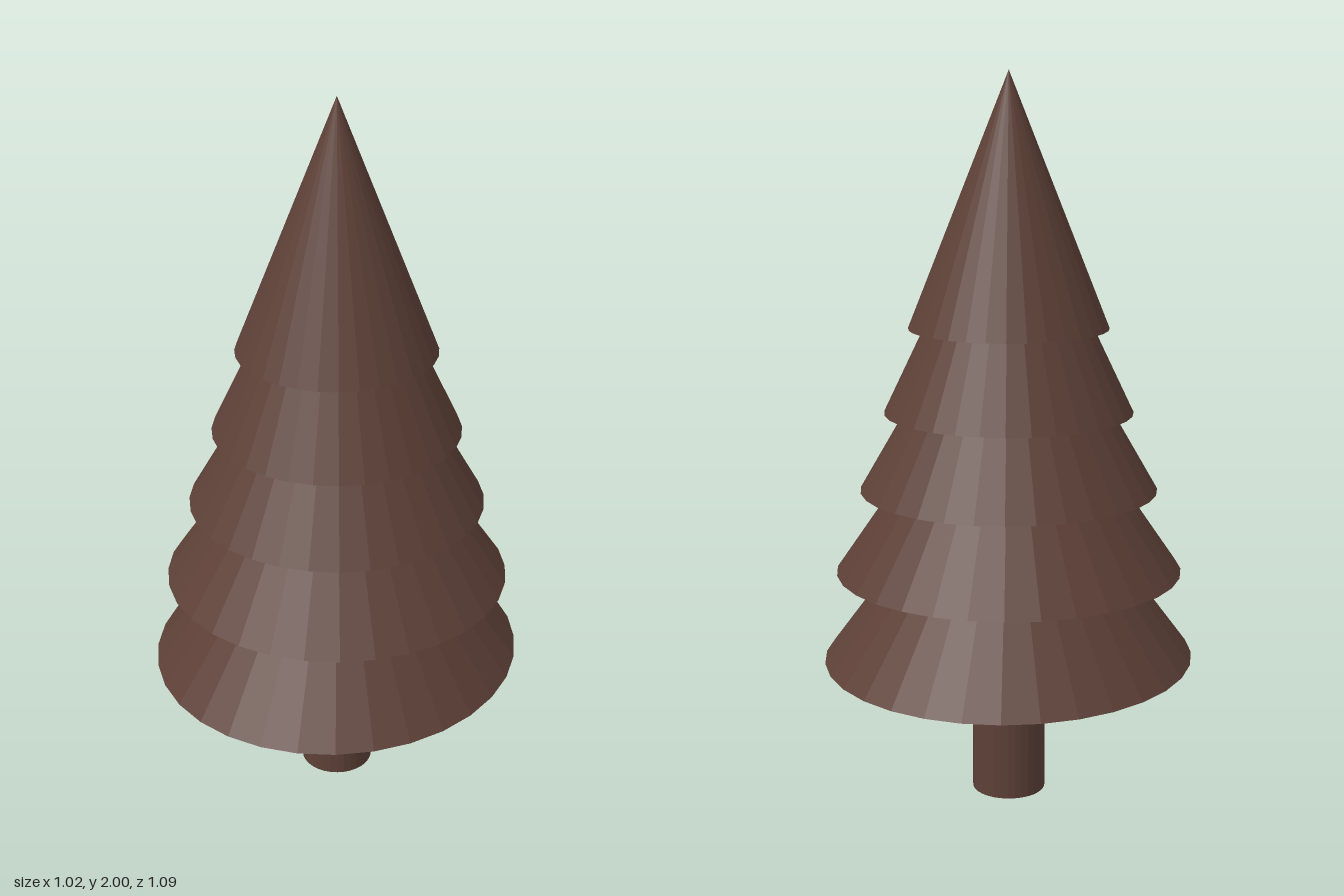
import * as THREE from 'three';

export function createModel() {
  const tree = new THREE.Group();
  tree.name = 'pineTree';
  const brown = new THREE.MeshStandardMaterial({ color: 0x5d4037, flatShading: true });
  brown.name = 'darkBrown';

  const add = (name, geometry, y) => {
    const mesh = new THREE.Mesh(geometry, brown);
    mesh.name = name;
    mesh.position.y = y;
    tree.add(mesh);
    return mesh;
  };

  // Trunk, running slightly into the lowest tier
  add('trunk', new THREE.CylinderGeometry(0.102, 0.102, 0.45, 32), 0.225);

  // Overlapping branch tiers, bottom to top: base height, tip height, radius in x, radius in z
  const tiers = [
    [0.4, 1.09, 0.511, 0.546],
    [0.647, 1.34, 0.477, 0.477],
    [0.876, 1.58, 0.408, 0.408],
    [1.09, 1.8, 0.34, 0.34],
    [1.32, 2, 0.272, 0.272],
  ];
  tiers.forEach(([base, tip, rx, rz], i) => {
    const cone = new THREE.ConeGeometry(1, tip - base, 32);
    cone.scale(rx, 1, rz);
    add(`branchTier${i + 1}`, cone, (base + tip) / 2);
  });

  return tree;
}
